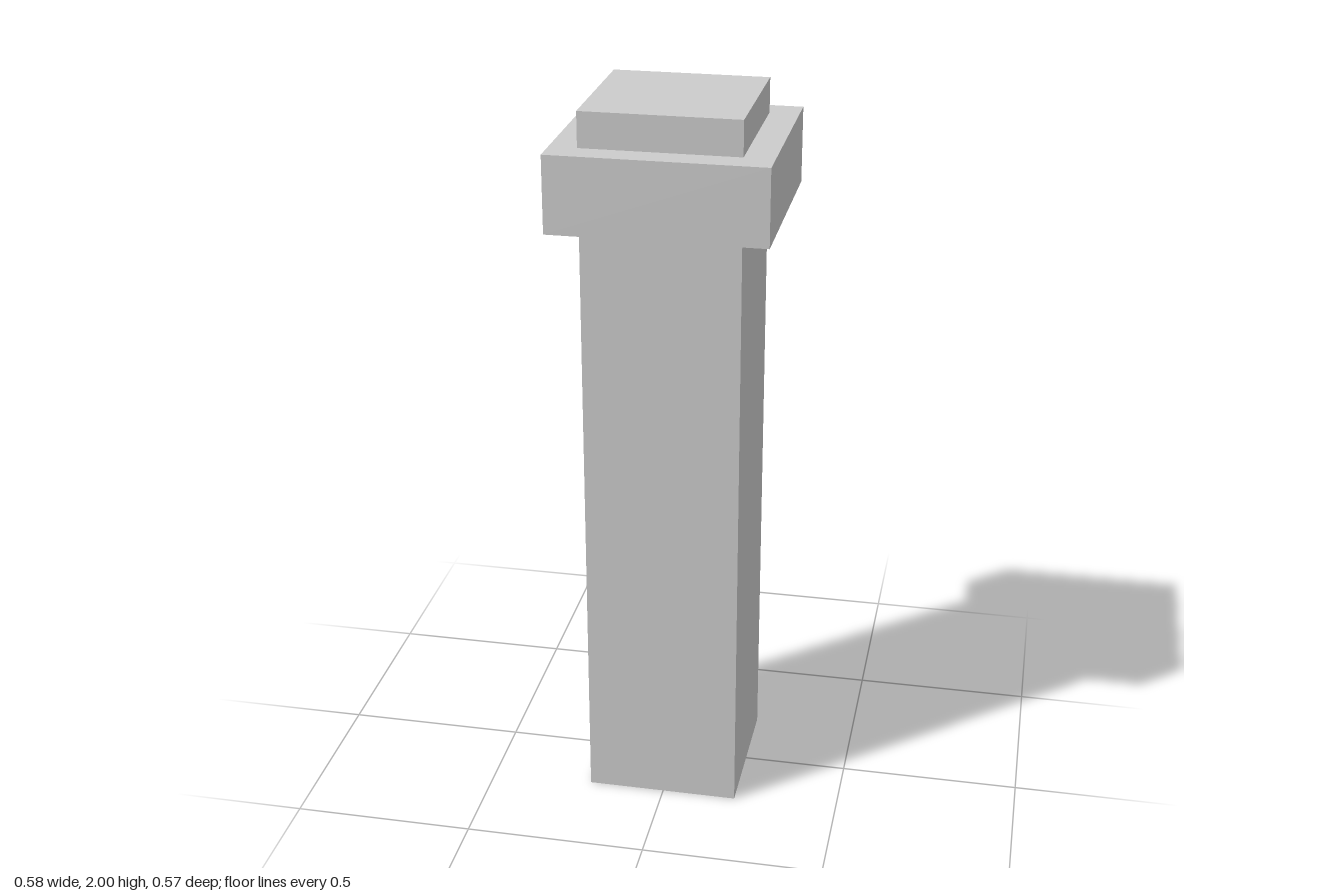
import * as THREE from 'three';

export function createModel() {
  const model = new THREE.Group();
  model.name = 'pillar';
  const material = new THREE.MeshStandardMaterial({ color: 0xcccccc, flatShading: true });

  // Box standing between two heights
  function addBlock(name, width, depth, bottom, top, x = 0) {
    const mesh = new THREE.Mesh(new THREE.BoxGeometry(width, top - bottom, depth), material);
    mesh.position.set(x, (bottom + top) / 2, 0);
    mesh.name = name;
    model.add(mesh);
  }

  // Square shaft running the full height, a touch off centre
  addBlock('shaft', 0.423, 0.423, 0, 2, -0.003);
  // Wider collar near the top
  addBlock('collar', 0.578, 0.57, 1.697, 1.905);

  return model;
}
